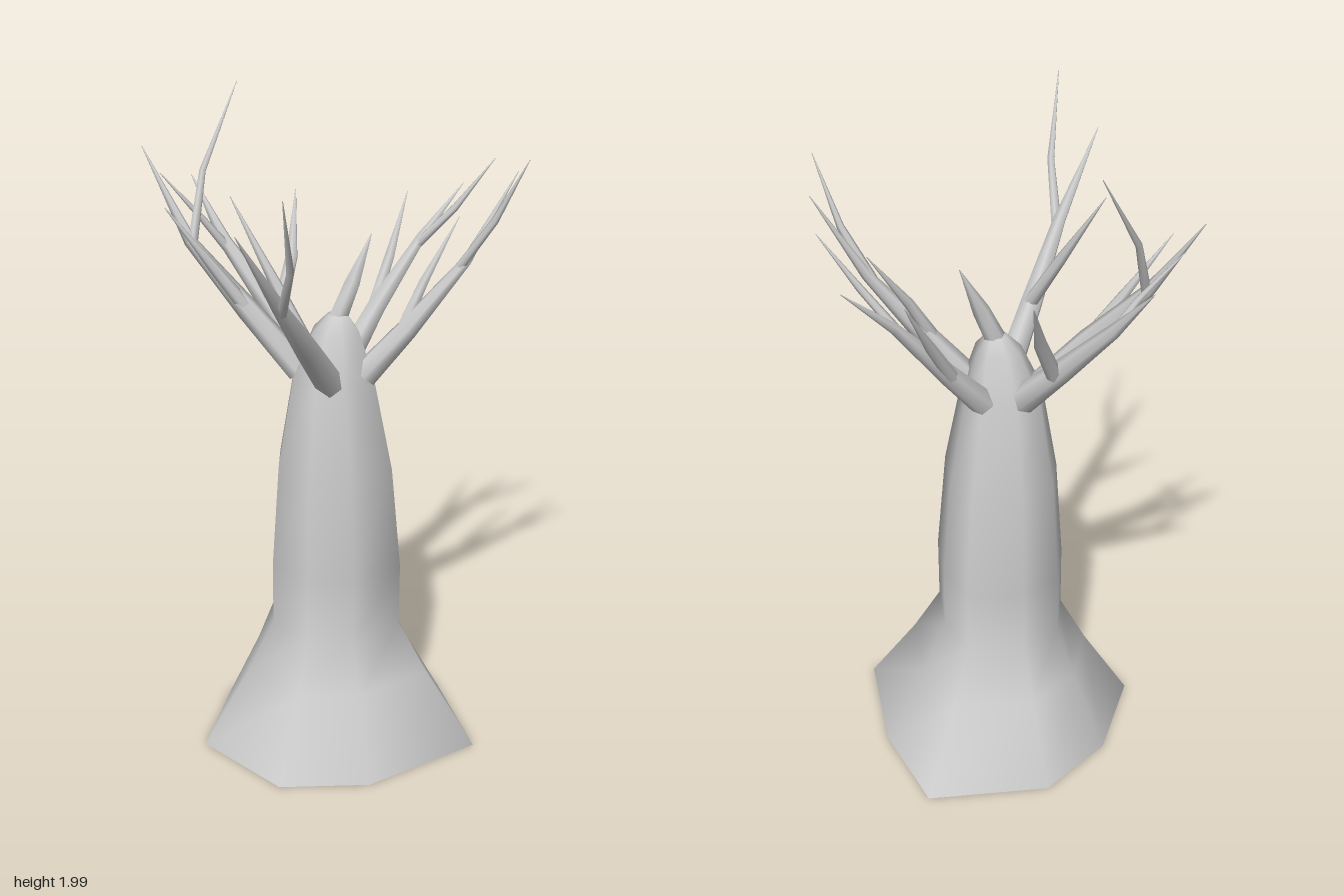
import * as THREE from 'three';

const material = new THREE.MeshStandardMaterial({ color: 0xcccccc, side: THREE.DoubleSide });

// Smooth skin over rings of equal point count (counter-clockwise around their axis)
function loft(name, rings, capEnd) {
  const n = rings[0].length, pos = [], index = [];
  rings.forEach(r => r.forEach(p => pos.push(p.x, p.y, p.z)));
  for (let i = 0; i < rings.length - 1; i++) {
    for (let j = 0; j < n; j++) {
      const a = i * n + j, b = i * n + (j + 1) % n;
      index.push(a, b, b + n, a, b + n, a + n);
    }
  }
  if (capEnd) {
    const last = rings[rings.length - 1], c = new THREE.Vector3();
    last.forEach(p => c.addScaledVector(p, 1 / n));
    pos.push(c.x, c.y + 0.005, c.z);
    const o = (rings.length - 1) * n;
    for (let j = 0; j < n; j++) index.push(o + j, o + (j + 1) % n, o + n);
  }
  const g = new THREE.BufferGeometry();
  g.setAttribute('position', new THREE.Float32BufferAttribute(pos, 3));
  g.setIndex(index);
  g.computeVertexNormals();
  const mesh = new THREE.Mesh(g, material);
  mesh.name = name;
  return mesh;
}

// Tapered limb through points [x, y, z, radius]
function limb(name, points, sides = 6) {
  const p = points.map(a => new THREE.Vector3(a[0], a[1], a[2]));
  const up = new THREE.Vector3(0, 1, 0);
  const rings = p.map((c, i) => {
    const dir = p[Math.min(i + 1, p.length - 1)].clone().sub(p[Math.max(i - 1, 0)]).normalize();
    const q = new THREE.Quaternion().setFromUnitVectors(up, dir);
    return Array.from({ length: sides }, (_, j) => {
      const t = -j / sides * Math.PI * 2, r = points[i][3];
      return new THREE.Vector3(Math.cos(t) * r, 0, Math.sin(t) * r).applyQuaternion(q).add(c);
    });
  });
  return loft(name, rings);
}

// Eight-sided trunk: flared irregular foot, narrow neck, rounded crown, open below
function trunk() {
  const foot = [[0.335, -0.07], [0.29, -0.37], [-0.07, -0.44], [-0.3, -0.315],
    [-0.475, -0.065], [-0.345, 0.235], [-0.09, 0.333], [0.29, 0.275]];
  const neck = [[0.135, -0.05], [0.105, -0.19], [-0.06, -0.235], [-0.185, -0.185],
    [-0.245, -0.05], [-0.19, 0.09], [-0.06, 0.14], [0.105, 0.11]];
  const rings = [[0, 0], [0.24, 0.64], [0.4, 1]].map(([y, t]) => foot.map((f, i) =>
    new THREE.Vector3(THREE.MathUtils.lerp(f[0], neck[i][0], t), y, THREE.MathUtils.lerp(f[1], neck[i][1], t))));
  // height, scale of the neck ring, centre x, centre z
  [[0.6, 1.0, -0.053, -0.048], [0.92, 0.87, -0.053, -0.048], [1.2, 0.61, -0.053, -0.045],
    [1.34, 0.34, -0.04, -0.042], [1.385, 0.15, -0.033, -0.04]].forEach(([y, s, cx, cz]) =>
    rings.push(neck.map(([x, z]) => new THREE.Vector3(cx + (x + 0.055) * s, y, cz + (z + 0.048) * s))));
  return loft('trunk', rings, true);
}

// Each branch: main limb, a forked tip and a side twig
const branches = {
  frontRightBranch: [
    [[-0.085, 1.2, 0.03, 0.042], [-0.2, 1.37, 0.14, 0.034], [-0.33, 1.56, 0.27, 0.02], [-0.475, 1.8, 0.35, 0.001]],
    [[-0.32, 1.54, 0.265, 0.016], [-0.345, 1.7, 0.395, 0.011], [-0.405, 1.93, 0.505, 0.001]],
    [[-0.195, 1.38, 0.13, 0.022], [-0.255, 1.54, 0.055, 0.017], [-0.34, 1.77, -0.06, 0.001]]],
  frontLeftBranch: [
    [[0.025, 1.21, 0.025, 0.042], [0.14, 1.35, 0.068, 0.033], [0.3, 1.55, 0.115, 0.016], [0.445, 1.8, 0.135, 0.001]],
    [[0.28, 1.53, 0.11, 0.014], [0.355, 1.68, 0.175, 0.011], [0.405, 1.87, 0.265, 0.001]],
    [[0.13, 1.36, 0.065, 0.02], [0.2, 1.48, 0.048, 0.015], [0.32, 1.65, 0.025, 0.001]]],
  backLeftBranch: [
    [[0.03, 1.21, -0.105, 0.04], [0.14, 1.34, -0.15, 0.031], [0.3, 1.53, -0.178, 0.016], [0.45, 1.67, -0.205, 0.001]],
    [[0.285, 1.51, -0.172, 0.014], [0.375, 1.63, -0.11, 0.011], [0.475, 1.78, -0.06, 0.001]],
    [[0.13, 1.33, -0.155, 0.02], [0.21, 1.47, -0.21, 0.016], [0.3, 1.64, -0.28, 0.001]]],
  backRightBranch: [
    [[-0.13, 1.21, -0.085, 0.042], [-0.26, 1.39, -0.16, 0.034], [-0.39, 1.58, -0.268, 0.019], [-0.475, 1.83, -0.415, 0.001]],
    [[-0.385, 1.57, -0.265, 0.015], [-0.32, 1.76, -0.345, 0.01], [-0.185, 1.99, -0.41, 0.001]],
    [[-0.26, 1.39, -0.155, 0.022], [-0.35, 1.52, -0.178, 0.016], [-0.48, 1.71, -0.21, 0.001]]],
  backBranch: [
    [[-0.08, 1.21, -0.125, 0.044], [-0.155, 1.35, -0.235, 0.034], [-0.25, 1.53, -0.37, 0.02], [-0.3, 1.7, -0.51, 0.001]],
    [[-0.245, 1.51, -0.36, 0.015], [-0.32, 1.61, -0.362, 0.01], [-0.43, 1.75, -0.4, 0.001]],
    [[-0.135, 1.34, -0.235, 0.023], [-0.07, 1.48, -0.295, 0.019], [-0.01, 1.65, -0.405, 0.001]]],
};

export function createModel() {
  const tree = new THREE.Group();
  tree.name = 'tree';
  tree.add(trunk());
  for (const [name, limbs] of Object.entries(branches)) {
    const branch = new THREE.Group();
    branch.name = name;
    ['mainLimb', 'forkedTip', 'sideTwig'].forEach((part, i) => branch.add(limb(part, limbs[i])));
    tree.add(branch);
  }
  // Single shoot on the crown
  tree.add(limb('crownShoot', [[-0.03, 1.37, -0.04, 0.03], [0.015, 1.47, -0.042, 0.025], [0.08, 1.61, -0.05, 0.001]]));
  return tree;
}
